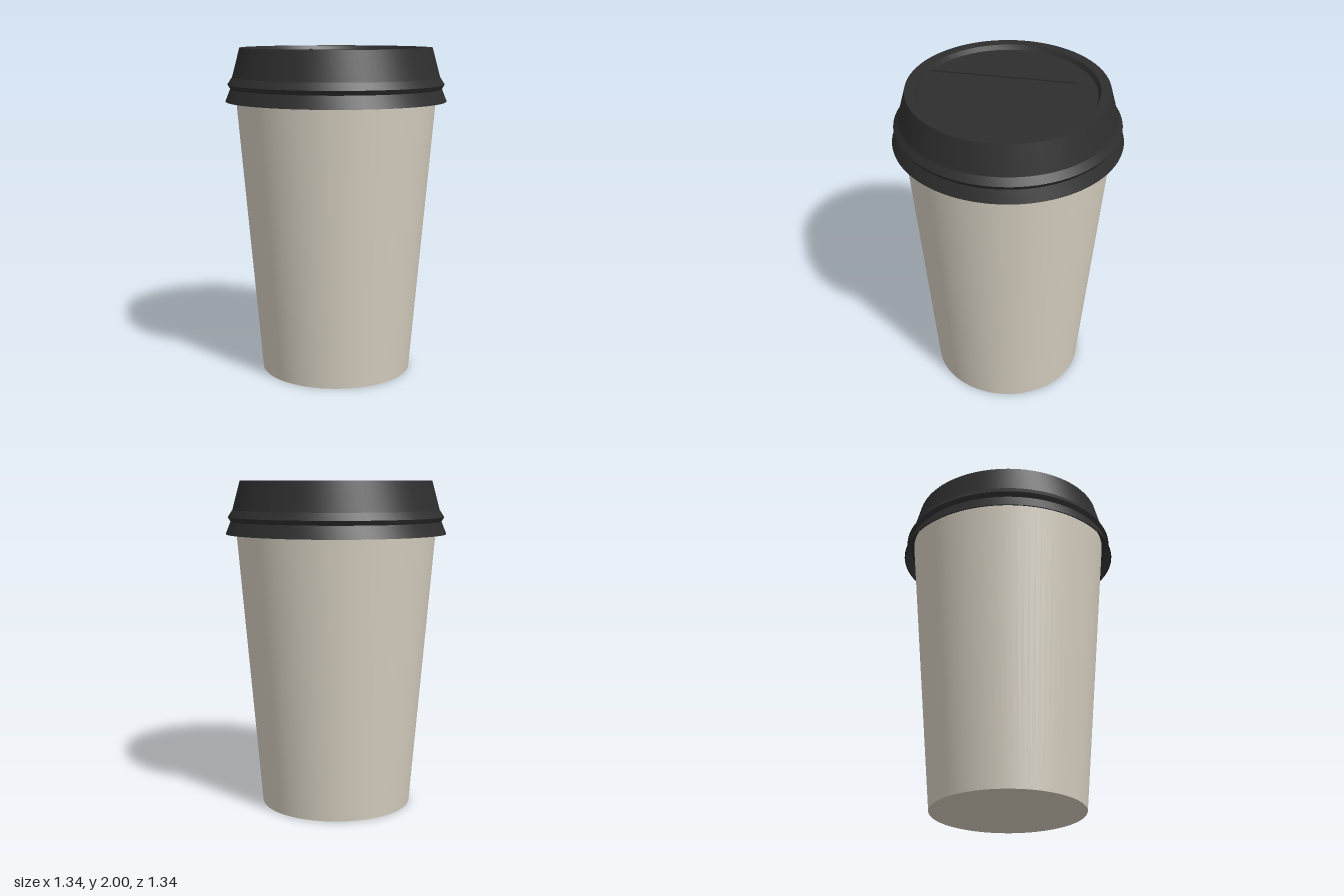
import * as THREE from 'three';
import { toCreasedNormals } from 'three/addons/utils/BufferGeometryUtils.js';

const cardboard = new THREE.MeshStandardMaterial({ color: 0xd6cfc0 });
cardboard.name = 'cream cardboard';
const plastic = new THREE.MeshStandardMaterial({ color: 0x2e2e2e });
plastic.name = 'black plastic';

// Turned part with crisp profile corners and a smooth circumference
function turned(name, profile, material) {
  const points = profile.map(([r, y]) => new THREE.Vector2(r, y));
  const geometry = toCreasedNormals(new THREE.LatheGeometry(points, 96), 0.25);
  const mesh = new THREE.Mesh(geometry, material);
  mesh.name = name;
  return mesh;
}

export function createModel() {
  const group = new THREE.Group();
  group.name = 'takeawayCup';

  // Tapered cup, reaching up inside the lid
  group.add(turned('cup', [[0, 0], [0.463, 0], [0.615, 1.78], [0, 1.78]], cardboard));

  // Lid: hollow flared skirt, snap bead, sloped wall, rim and recessed top
  group.add(turned('lid', [
    [0.605, 1.765], [0.635, 1.755], [0.664, 1.68], [0.672, 1.68],
    [0.642, 1.755], [0.658, 1.782], [0.63, 1.825],
    [0.583, 2], [0.523, 2], [0.51, 1.972], [0, 1.972],
  ], plastic));

  // Straight fold rib across the recessed top
  const rib = new THREE.Mesh(new THREE.BoxGeometry(0.018, 0.016, 0.86), plastic);
  rib.name = 'foldRib';
  rib.position.set(-0.178, 1.974, -0.005);
  rib.rotation.y = Math.atan2(-0.295, 0.81);
  group.add(rib);

  return group;
}
